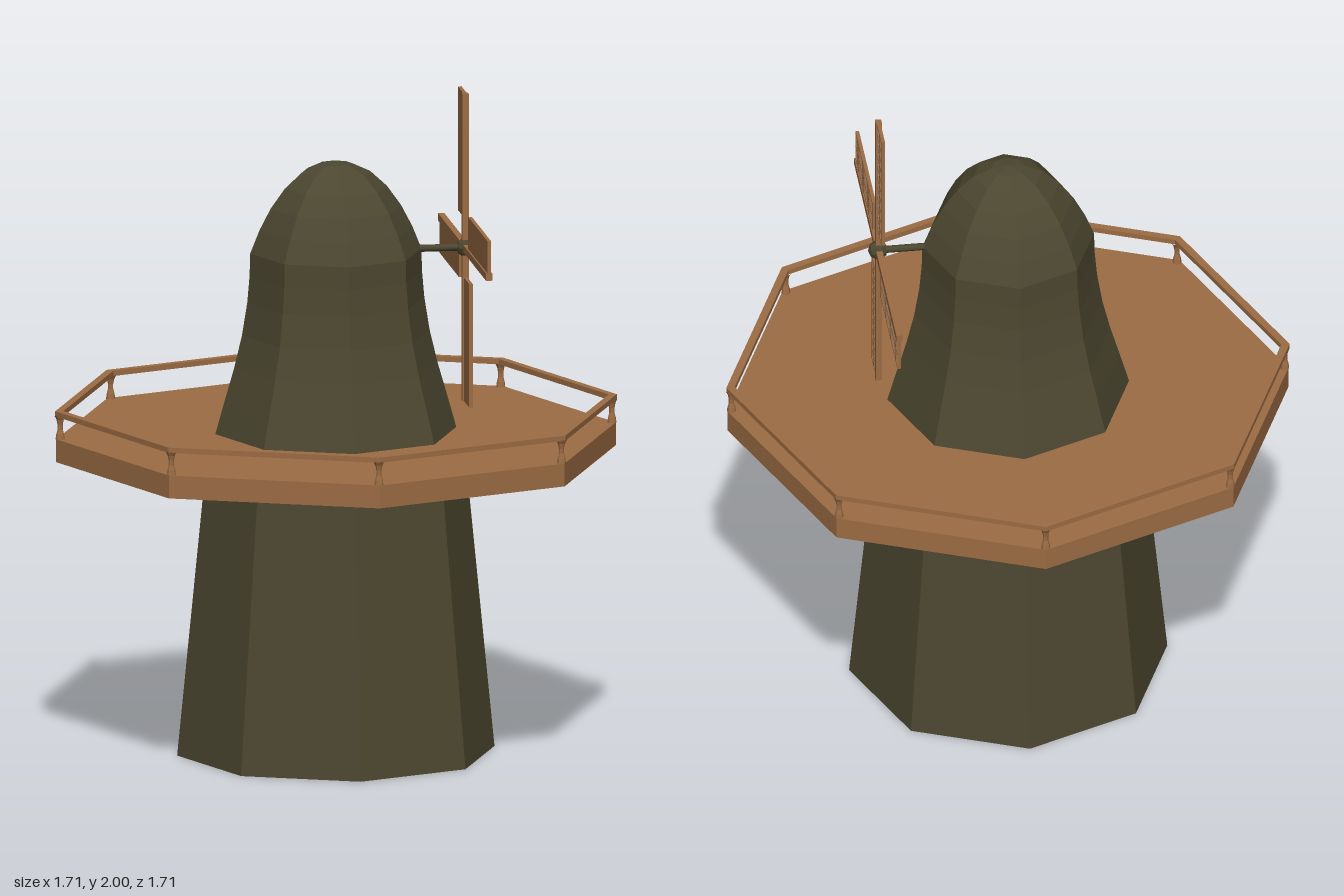
import * as THREE from 'three';

const tower = new THREE.MeshStandardMaterial({ color: 0x4c4730 });
tower.name = 'dark olive';
const wood = new THREE.MeshStandardMaterial({ color: 0x9c6c44 });
wood.name = 'brown wood';
const canvas = new THREE.MeshStandardMaterial({ color: 0xcfcfd4 });
canvas.name = 'pale canvas';

const SIDES = 8;
const AXIS_Y = 1.53, SAIL_X = 0.393;

function add(parent, name, geometry, material, x = 0, y = 0, z = 0) {
  const mesh = new THREE.Mesh(geometry, material);
  mesh.name = name;
  mesh.position.set(x, y, z);
  parent.add(mesh);
  return mesh;
}

// Turned shape with flat facets
function faceted(profile, sides) {
  const g = new THREE.LatheGeometry(profile.map(([r, y]) => new THREE.Vector2(r, y)), sides).toNonIndexed();
  g.computeVertexNormals();
  return g;
}

function octagon(radius, Type = THREE.Shape) {
  const pts = [];
  for (let i = 0; i < SIDES; i++) {
    const a = (i / SIDES) * Math.PI * 2;
    pts.push(new THREE.Vector2(radius * Math.cos(a), radius * Math.sin(a)));
  }
  return new Type(pts);
}

// Flat octagonal slab or ring, its underside at y = 0
function octagonSlab(radius, height, holeRadius) {
  const shape = octagon(radius);
  if (holeRadius) shape.holes.push(octagon(holeRadius, THREE.Path));
  return new THREE.ExtrudeGeometry(shape, { depth: height, bevelEnabled: false }).rotateX(-Math.PI / 2);
}

function createBalcony() {
  const balcony = new THREE.Group();
  balcony.name = 'balcony';
  add(balcony, 'deck', octagonSlab(0.85, 0.07), wood, 0, 0.91, 0);
  add(balcony, 'handrail', octagonSlab(0.853, 0.016, 0.828), wood, 0, 1.05, 0);
  // Flared posts at the corners
  const post = faceted([[0.014, 0], [0.012, 0.015], [0.008, 0.03], [0.008, 0.045], [0.011, 0.06], [0.017, 0.072]], 8);
  for (let i = 0; i < SIDES; i++) {
    const a = (i / SIDES) * Math.PI * 2;
    add(balcony, 'railPost', post, wood, 0.838 * Math.cos(a), 0.98, 0.838 * Math.sin(a));
  }
  return balcony;
}

// One sail pointing up, with its lattice on the trailing side
function createSail() {
  const sail = new THREE.Group();
  sail.name = 'sail';
  add(sail, 'spar', new THREE.BoxGeometry(0.019, 0.47, 0.022), wood, 0, 0.235, 0);

  const width = 0.1, bottom = 0.092, top = 0.47, columns = 2, rows = 10;
  const length = top - bottom, midY = (top + bottom) / 2, midZ = -0.01 - width / 2;
  add(sail, 'sailBacking', new THREE.BoxGeometry(0.006, length, width), wood, -0.002, midY, midZ);
  add(sail, 'sailCanvas', new THREE.BoxGeometry(0.002, length - 0.006, width - 0.006), canvas, 0.002, midY, midZ);
  for (let i = 0; i <= rows; i++) {
    const y = bottom + 0.003 + (i / rows) * (length - 0.006);
    add(sail, 'crossLath', new THREE.BoxGeometry(0.006, 0.006, width), wood, 0.003, y, midZ);
  }
  for (let i = 0; i <= columns; i++) {
    const z = midZ - width / 2 + 0.003 + (i / columns) * (width - 0.006);
    add(sail, 'longLath', new THREE.BoxGeometry(0.006, length, 0.006), wood, 0.003, midY, z);
  }
  return sail;
}

function createSails() {
  const sails = new THREE.Group();
  sails.name = 'sails';
  for (let i = 0; i < 4; i++) {
    const sail = createSail();
    sail.rotation.x = (i * Math.PI) / 2;
    sails.add(sail);
  }
  // Axle and hub lie along x
  const axle = new THREE.CylinderGeometry(0.011, 0.011, 0.2, 8).rotateZ(Math.PI / 2);
  add(sails, 'axle', axle, tower, -0.1, 0, 0);
  const hub = faceted([[0, -0.022], [0.018, -0.022], [0.028, -0.009], [0.028, 0.009], [0.02, 0.024], [0, 0.032]], 8);
  add(sails, 'hub', hub.rotateZ(-Math.PI / 2), tower);
  sails.position.set(SAIL_X, AXIS_Y, -0.004);
  return sails;
}

export function createModel() {
  const model = new THREE.Group();
  model.name = 'windmill';

  // Tapered tower with a waisted upper part
  add(model, 'tower', faceted([
    [0, 0], [0.482, 0], [0.39, 0.93], [0.366, 0.98], [0.338, 1.08], [0.309, 1.18],
    [0.285, 1.28], [0.269, 1.38], [0.262, 1.46], [0.26, AXIS_Y],
  ], SIDES), tower, 0, 0, -0.004);

  // Domed cap
  add(model, 'cap', faceted([
    [0.26, AXIS_Y], [0.232, 1.6], [0.198, 1.665], [0.155, 1.725], [0.104, 1.772], [0.05, 1.797], [0, 1.804],
  ], SIDES), tower, 0, 0, -0.004);

  model.add(createBalcony(), createSails());
  return model;
}
